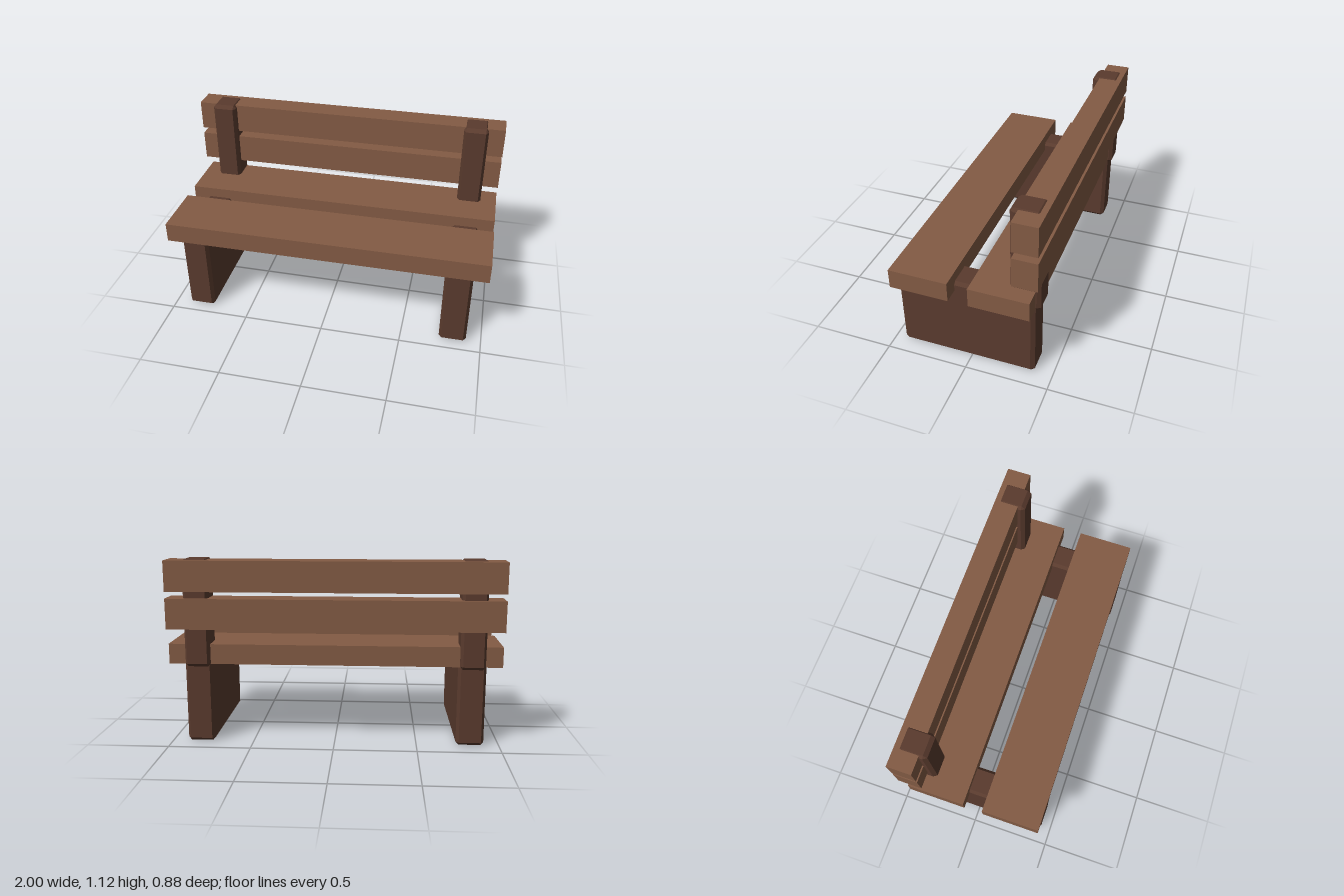
import * as THREE from 'three';
import { ConvexGeometry } from 'three/addons/geometries/ConvexGeometry.js';

// Box with every edge cut by a flat chamfer; cx, cy, cz are the cuts along each axis
function chamferedBox(w, h, d, cx, cy, cz) {
  const points = [];
  for (const x of [-1, 1]) for (const y of [-1, 1]) for (const z of [-1, 1]) {
    const X = w / 2, Y = h / 2, Z = d / 2;
    points.push(
      new THREE.Vector3(x * X, y * (Y - cy), z * (Z - cz)),
      new THREE.Vector3(x * (X - cx), y * Y, z * (Z - cz)),
      new THREE.Vector3(x * (X - cx), y * (Y - cy), z * Z));
  }
  return new ConvexGeometry(points);
}

export function createModel() {
  const bench = new THREE.Group();
  bench.name = 'bench';
  const plankWood = new THREE.MeshStandardMaterial({ color: 0x835b44 });
  plankWood.name = 'plankWood';
  const frameWood = new THREE.MeshStandardMaterial({ color: 0x5a3b2e });
  frameWood.name = 'frameWood';

  const add = (name, geometry, material, x, y, z) => {
    const mesh = new THREE.Mesh(geometry, material);
    mesh.name = name;
    mesh.position.set(x, y, z);
    bench.add(mesh);
  };

  // Full-width planks: y range, z range
  const planks = [
    ['frontSeatPlank', 0.492, 0.614, 0.083, 0.438],
    ['rearSeatPlank', 0.492, 0.614, -0.392, -0.037],
    ['lowerBackPlank', 0.71, 0.894, -0.437, -0.29],
    ['upperBackPlank', 0.935, 1.119, -0.437, -0.29],
  ];
  for (const [name, y0, y1, z0, z1] of planks) {
    add(name, new THREE.BoxGeometry(2, y1 - y0, z1 - z0), plankWood, 0, (y0 + y1) / 2, (z0 + z1) / 2);
  }

  // Slab legs and backrest posts, mirrored left and right
  const leg = chamferedBox(0.168, 0.55, 0.828, 0.017, 0.02, 0.024);
  const post = chamferedBox(0.152, 0.648, 0.176, 0.016, 0.02, 0.024);
  for (const [side, s] of [['left', 1], ['right', -1]]) {
    add(side + 'Leg', leg, frameWood, s * 0.823, 0.275, 0.023);
    add(side + 'BackPost', post, frameWood, s * 0.823, 0.801, -0.332);
  }
  return bench;
}
